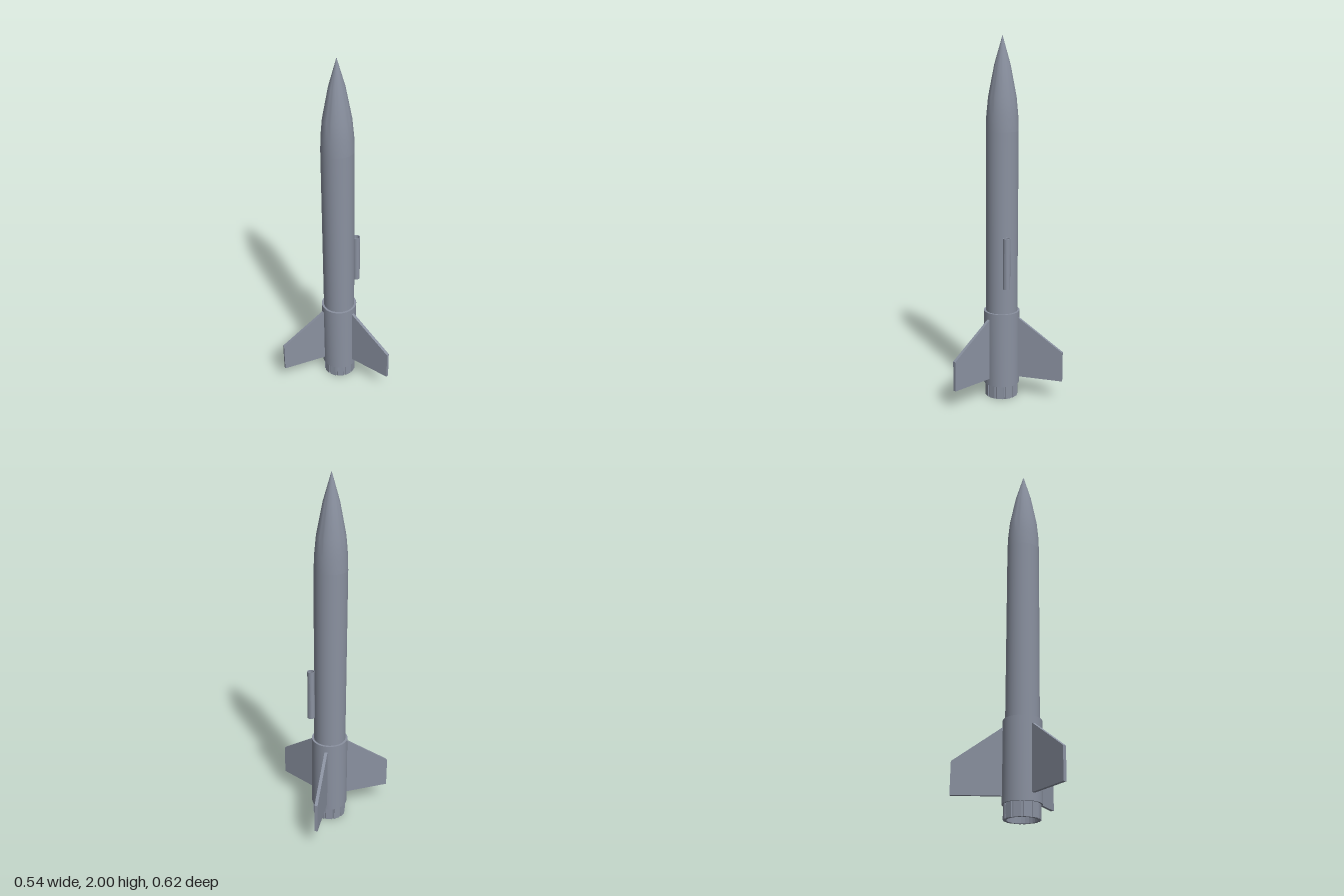
import * as THREE from 'three';
import { toCreasedNormals } from 'three/addons/utils/BufferGeometryUtils.js';

export function createModel() {
  const model = new THREE.Group();
  model.name = 'rocket';
  const grey = new THREE.MeshStandardMaterial({ color: 0x8a91a0 });
  grey.name = 'slate grey';

  // everything hangs on the rocket axis, which sits off centre because of the fins
  const rocket = new THREE.Group();
  rocket.name = 'rocketBody';
  rocket.position.x = -0.085;
  model.add(rocket);

  const add = (name, geometry, parent = rocket) => {
    const mesh = new THREE.Mesh(geometry, grey);
    mesh.name = name;
    parent.add(mesh);
    return mesh;
  };
  const lathe = (points, segments = 48) => toCreasedNormals(
    new THREE.LatheGeometry(points.map(([r, y]) => new THREE.Vector2(r, y)), segments), 0.5);

  // pointed nose and straight tube
  add('noseCone', lathe([[0.088, 1.5], [0.0855, 1.58], [0.076, 1.68], [0.043, 1.85], [0, 2]]));
  add('bodyTube', lathe([[0.088, 0.49], [0.088, 1.5]]));

  // wider sleeve that carries the fins
  add('finSleeve', lathe([[0, 0.075], [0.1, 0.075], [0.1, 0.5], [0.087, 0.5]]));

  // hollow motor retainer with grip ribs
  const ribs = 12;
  const outline = new THREE.Shape();
  for (let i = 0; i < ribs; i++) {
    const a = (i / ribs) * Math.PI * 2;
    [[0, 0.093], [0.39, 0.093], [0.41, 0.088], [0.5, 0.088]].forEach(([t, r], k) => {
      const angle = a + t;
      const x = r * Math.cos(angle), y = r * Math.sin(angle);
      if (i + k === 0) outline.moveTo(x, y); else outline.lineTo(x, y);
    });
  }
  outline.closePath();
  outline.holes.push(new THREE.Path().absarc(0, 0, 0.076, 0, Math.PI * 2, true));
  const retainer = new THREE.ExtrudeGeometry(outline, { depth: 0.075, bevelEnabled: false, curveSegments: 12 });
  retainer.rotateX(-Math.PI / 2);
  add('motorRetainer', retainer);

  // three swept fins
  const finShape = new THREE.Shape([
    [0.09, 0.115], [0.352, 0.115], [0.352, 0.283], [0.1, 0.462], [0.09, 0.462],
  ].map(([x, y]) => new THREE.Vector2(x, y)));
  const finGeometry = new THREE.ExtrudeGeometry(finShape, { depth: 0.017, bevelEnabled: false });
  finGeometry.translate(0, 0, -0.0085);
  for (let i = 0; i < 3; i++) {
    add('fin' + (i + 1), finGeometry).rotation.y = (i * Math.PI * 2) / 3;
  }

  // open launch lug on the back
  const lug = add('launchLug', lathe([
    [0.0165, 0.65], [0.02, 0.65], [0.02, 0.933], [0.0165, 0.933], [0.0165, 0.65],
  ], 24));
  lug.position.set(0.054, 0, -0.094);

  return model;
}
